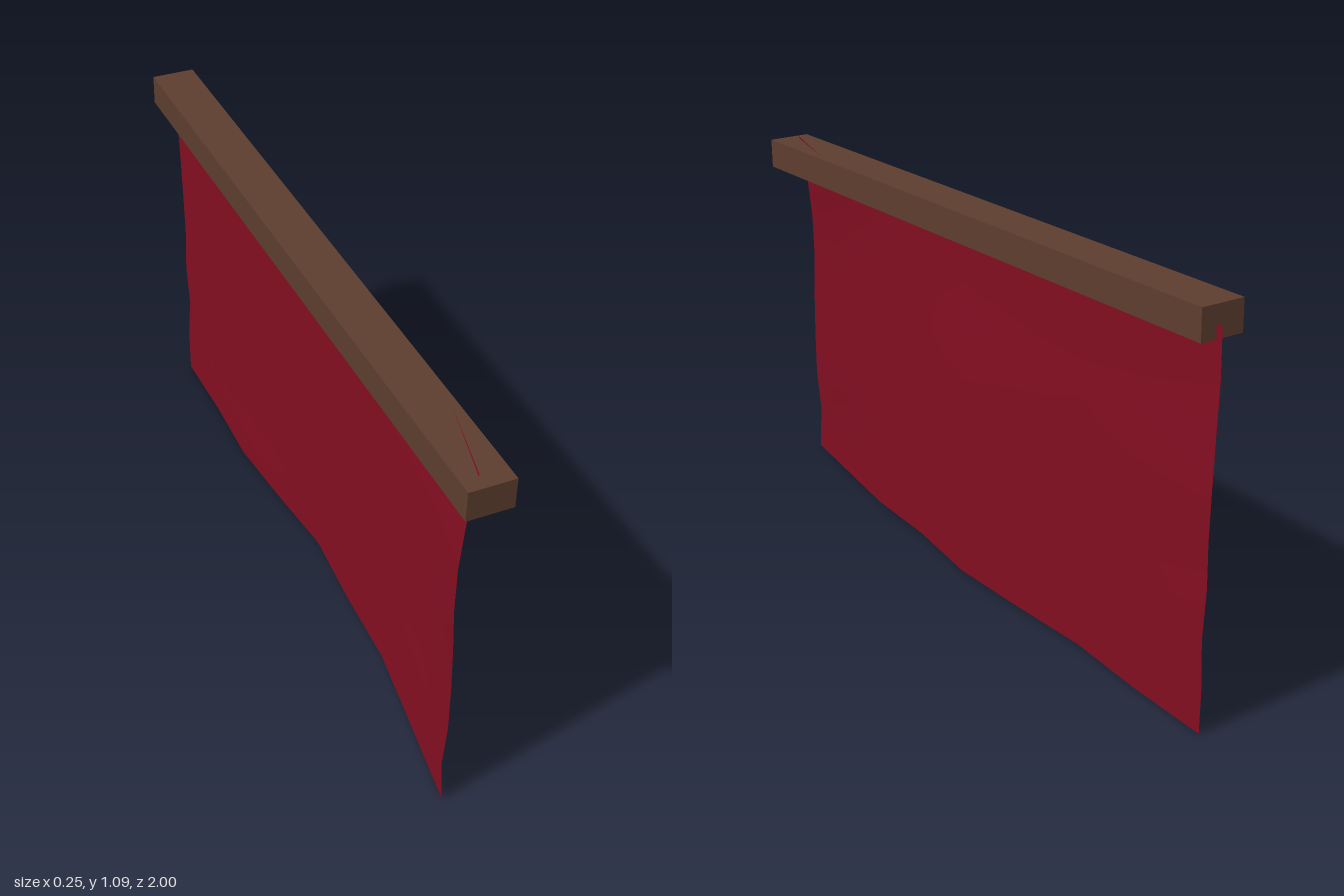
import * as THREE from 'three';

export function createModel() {
  const model = new THREE.Group();
  const wood = new THREE.MeshStandardMaterial({ color: 0x5c3d2e });
  wood.name = 'brown wood';
  const red = new THREE.MeshStandardMaterial({ color: 0x820e21, side: THREE.DoubleSide });
  red.name = 'dark red cloth';

  // Beam: slightly turned and tilted, its back end higher
  const beam = new THREE.Mesh(new THREE.BoxGeometry(0.122, 0.083, 1.98), wood);
  beam.name = 'beam';
  beam.rotation.set(0.0275, -0.063, 0, 'YXZ');
  beam.position.set(-0.001, 1.02, 0.0065);
  model.add(beam);

  // Hanging cloth: a rippled sheet, columns running from front to back
  const bottomX = [-0.113, -0.062, -0.012, 0.012, 0.048, 0.043, 0.04, 0.065, 0.08];
  const topX = [-0.075, 0, 0.01, 0.02, 0.035, 0.045, 0.05, 0.065, 0.08];
  const bottomY = [0.003, 0.01, 0.016, 0.019, 0.012, 0.004, 0.002, 0.001, 0.002];
  const frontBulge = [0, -0.012, -0.005, -0.009, -0.016, -0.026, -0.028, -0.019, 0];
  const backBulge = [0, 0, 0.008, 0.001, 0.005, 0.003, 0, -0.004, 0];
  const n = 8;
  const cloth = new THREE.PlaneGeometry(1, 1, n, n);
  const p = cloth.attributes.position;
  for (let row = 0; row <= n; row++) {
    for (let col = 0; col <= n; col++) {
      const s = 1 - row / n; // height fraction
      const t = col / n; // front to back
      const k = n - row;
      const x = THREE.MathUtils.lerp(bottomX[col], topX[col], s)
        + frontBulge[k] * Math.max(0, 1 - t * 2.5) + backBulge[k] * t;
      const y = THREE.MathUtils.lerp(bottomY[col], 1.042, s);
      p.setXYZ(row * (n + 1) + col, x, y, 0.957 - 1.957 * t);
    }
  }
  cloth.computeVertexNormals();
  const sheet = new THREE.Mesh(cloth, red);
  sheet.name = 'cloth';
  model.add(sheet);

  return model;
}
